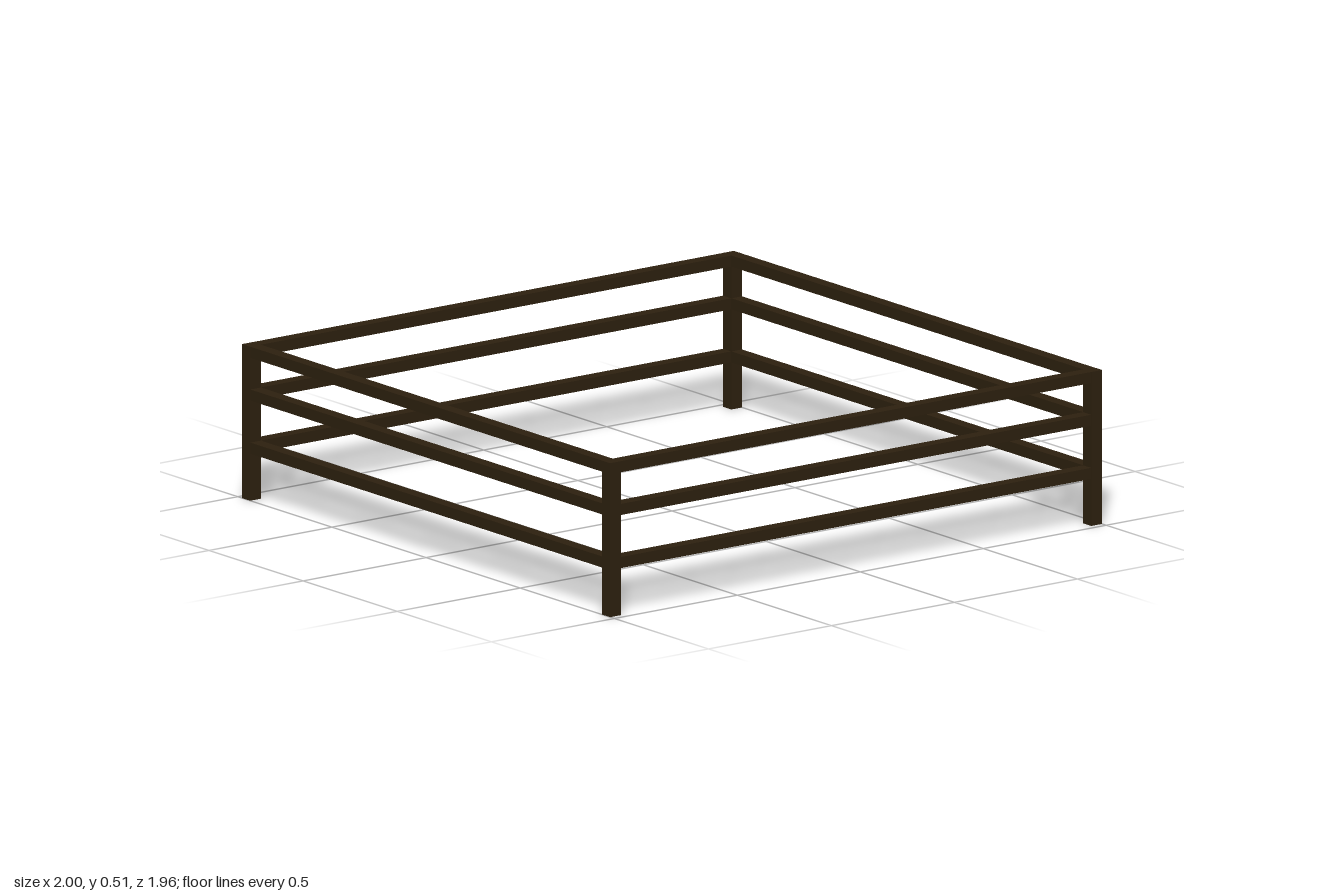
import * as THREE from 'three';

export function createModel() {
  const group = new THREE.Group();
  const wood = new THREE.MeshStandardMaterial({ color: 0x2e210f });
  wood.name = 'darkWood';

  const halfX = 1, halfZ = 0.978, height = 0.513;
  const post = 0.044, railHeight = 0.037, railDepth = 0.043;
  const postX = halfX - post / 2, postZ = halfZ - post / 2;

  const addBox = (name, w, h, d, x, y, z) => {
    const mesh = new THREE.Mesh(new THREE.BoxGeometry(w, h, d), wood);
    mesh.name = name;
    mesh.position.set(x, y, z);
    group.add(mesh);
  };

  // Corner posts
  for (const sx of [-1, 1]) {
    for (const sz of [-1, 1]) {
      addBox('cornerPost', post, height, post, sx * postX, height / 2, sz * postZ);
    }
  }

  // Three rails on each side, running between the posts
  const rails = [['lowerRail', 0.175], ['middleRail', 0.352], ['topRail', height - railHeight / 2]];
  for (const [name, y] of rails) {
    for (const [s, endName, sideName] of [[-1, 'back', 'right'], [1, 'front', 'left']]) {
      const label = name[0].toUpperCase() + name.slice(1);
      addBox(endName + label, 2 * (halfX - post), railHeight, railDepth, 0, y, s * postZ);
      addBox(sideName + label, railDepth, railHeight, 2 * (halfZ - post), s * postX, y, 0);
    }
  }

  return group;
}
